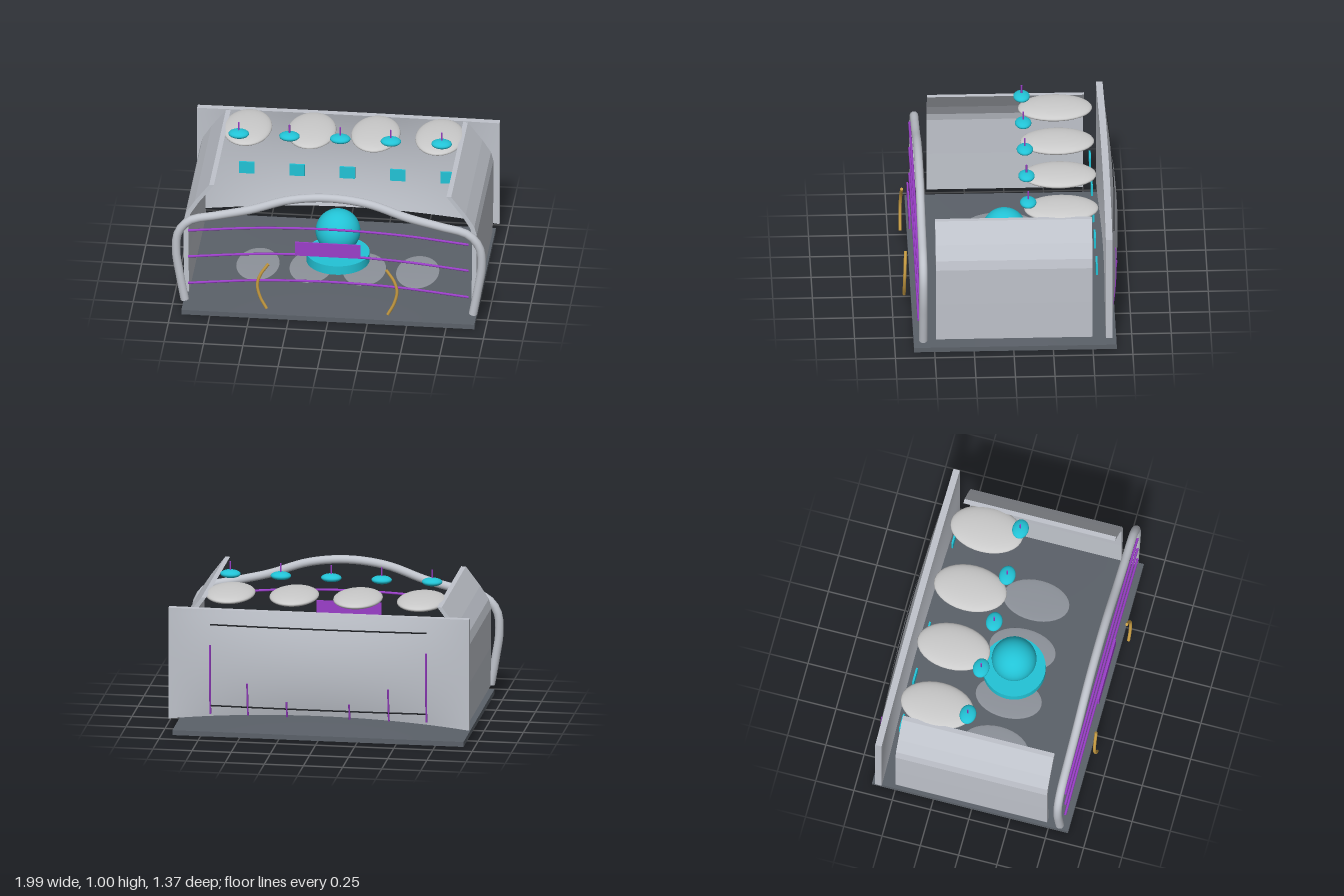
import * as THREE from 'three';

const mat = (name, color) => new THREE.MeshStandardMaterial({ name, color });
const V = (x, y, z) => new THREE.Vector3(x, y, z);

export function createModel() {
  const root = new THREE.Group();
  root.name = 'pavilion';
  const M = {
    floor: mat('slate', 0x5b6169),
    wall: mat('silver', 0xbfc3cb),
    canopy: mat('paleGrey', 0xcbcbcb),
    pad: mat('midGrey', 0x8d929a),
    teal: mat('teal', 0x22c3d6),
    purple: mat('purple', 0x9b3fc9),
    gold: mat('gold', 0xc79c42),
    seam: mat('charcoal', 0x24262a),
  };
  const add = (name, geometry, material, x = 0, y = 0, z = 0) => {
    const m = new THREE.Mesh(geometry, material);
    m.name = name;
    m.position.set(x, y, z);
    root.add(m);
    return m;
  };
  const bend = (geometry, rule) => {
    const p = geometry.attributes.position;
    for (let i = 0; i < p.count; i++) p.setXYZ(i, ...rule(p.getX(i), p.getY(i), p.getZ(i)));
    geometry.computeVertexNormals();
    return geometry;
  };
  const ellipsoid = (rx, ry, rz) => new THREE.SphereGeometry(1, 32, 18).scale(rx, ry, rz);

  // Tube through points, with closed ends
  const tube = (name, points, radius, material, sides = 8) => {
    const curve = new THREE.CatmullRomCurve3(points);
    add(name, new THREE.TubeGeometry(curve, 64, radius, sides), material);
    for (const [t, sign] of [[0, -1], [1, 1]]) {
      const cap = add(name + 'End', new THREE.CircleGeometry(radius, sides), material);
      cap.position.copy(curve.getPointAt(t));
      cap.lookAt(cap.position.clone().addScaledVector(curve.getTangentAt(t), sign));
    }
  };

  // Floor slab with a slight crown
  add('floor', bend(new THREE.BoxGeometry(1.86, 0.032, 1.28, 20, 1, 20), (x, y, z) =>
    [x, y + (y > 0 ? 0.009 * (1 - (x / 0.93) ** 2) * (1 - (z / 0.64) ** 2) : 0), z]),
  M.floor, 0, 0.016, -0.01);

  // Back wall: bulges rearward, with an arched lower edge
  const bulge = (x, y) => 0.06 * (1 - (x / 0.96) ** 2) * Math.max(0, 1 - ((y - 0.48) / 0.37) ** 2);
  add('backWall', bend(new THREE.BoxGeometry(1.92, 0.725, 0.042, 32, 20, 1), (x, y, z) => {
    const up = (0.3625 - y) / 0.725;
    const ny = y + 0.4625 + 0.06 * up * (1 - (x / 0.96) ** 2);
    return [x, ny, z - 0.601 - bulge(x, ny)];
  }), M.wall);

  // Thin seams and ribs on the outside of the back wall
  const onBack = (x, y, out) => V(x, y, -0.622 - bulge(x, y) - out);
  for (const y of [0.73, 0.2]) {
    const pts = [];
    for (let i = 0; i <= 12; i++) pts.push(onBack(-0.69 + 0.115 * i, y, 0.001));
    tube('backSeam', pts, 0.005, M.seam, 6);
  }
  for (const [x, top] of [[0.69, 0.6], [0.45, 0.36], [0.2, 0.25]]) {
    for (const s of [-1, 1]) {
      const pts = [];
      for (let i = 0; i <= 6; i++) pts.push(onBack(s * x, 0.145 + (top - 0.145) * i / 6, 0.001));
      tube('backRib', pts, 0.006, M.purple, 6);
    }
  }

  // Side walls: upright panels leaning inward at the top
  const profile = [[0.925, 0.09], [0.93, 0.35], [0.93, 0.6], [0.915, 0.66], [0.86, 0.745], [0.768, 0.866]];
  const inner = [[0.738, 0.866], [0.835, 0.735], [0.888, 0.65], [0.9, 0.6], [0.9, 0.35], [0.895, 0.09]];
  for (const s of [-1, 1]) {
    const shape = new THREE.Shape([...profile, ...inner].map(([x, y]) => new THREE.Vector2(s * x, y)));
    add(s > 0 ? 'leftWall' : 'rightWall',
      new THREE.ExtrudeGeometry(shape, { depth: 0.99, bevelEnabled: false }), M.wall, 0, 0, -0.498);
  }

  // Front arch
  const half = [[0.915, 0.08], [0.945, 0.25], [0.97, 0.43], [0.955, 0.56], [0.885, 0.645],
    [0.7, 0.695], [0.5, 0.745], [0.25, 0.83]];
  tube('frontArch', [
    ...half.map(([x, y]) => V(-x, y, 0.572)), V(0, 0.858, 0.572),
    ...half.slice().reverse().map(([x, y]) => V(x, y, 0.572)),
  ], 0.027, M.wall, 16);

  // Bowed front rails and sign panel
  for (const y of [0.59, 0.403, 0.213]) {
    tube('frontRail', [V(-0.89, y, 0.6), V(-0.45, y + 0.043, 0.6), V(0, y + 0.058, 0.6),
      V(0.45, y + 0.043, 0.6), V(0.89, y, 0.6)], 0.008, M.purple);
  }
  add('frontPanel', new THREE.BoxGeometry(0.415, 0.095, 0.01), M.purple, 0, 0.518, 0.635);

  // Curved handles in front
  for (const s of [-1, 1]) {
    tube('handle', [V(s * 0.375, 0.413, 0.666), V(s * 0.425, 0.335, 0.67), V(s * 0.443, 0.265, 0.673),
      V(s * 0.425, 0.18, 0.675), V(s * 0.385, 0.1, 0.675)], 0.01, M.gold);
  }

  // Central globe on a round base
  add('globeBase', new THREE.CylinderGeometry(0.2, 0.2, 0.06, 40), M.teal, 0, 0.151, 0.03);
  add('globe', new THREE.SphereGeometry(0.142, 32, 20), M.teal, 0, 0.33, 0.03);

  // Floor pads and roof canopies
  for (const i of [-1.5, -0.5, 0.5, 1.5]) {
    add('floorPad', ellipsoid(0.137, 0.006, 0.215), M.pad, i * 0.338, 0.065, 0.04);
    add('canopy', ellipsoid(0.155, 0.036, 0.235), M.canopy, i * 0.407, 0.851, -0.31);
  }

  // Hanging lamps and small wall plates
  for (let i = -2; i <= 2; i++) {
    add('lamp', ellipsoid(0.065, 0.026, 0.052), M.teal, i * 0.322, 0.92, -0.1);
    add('lampRod', new THREE.CylinderGeometry(0.005, 0.005, 0.07, 8), M.purple, i * 0.322, 0.966, -0.1);
    add('wallPlate', new THREE.BoxGeometry(0.098, 0.08, 0.012), M.teal, i * 0.32, 0.442, -0.532);
  }
  return root;
}
